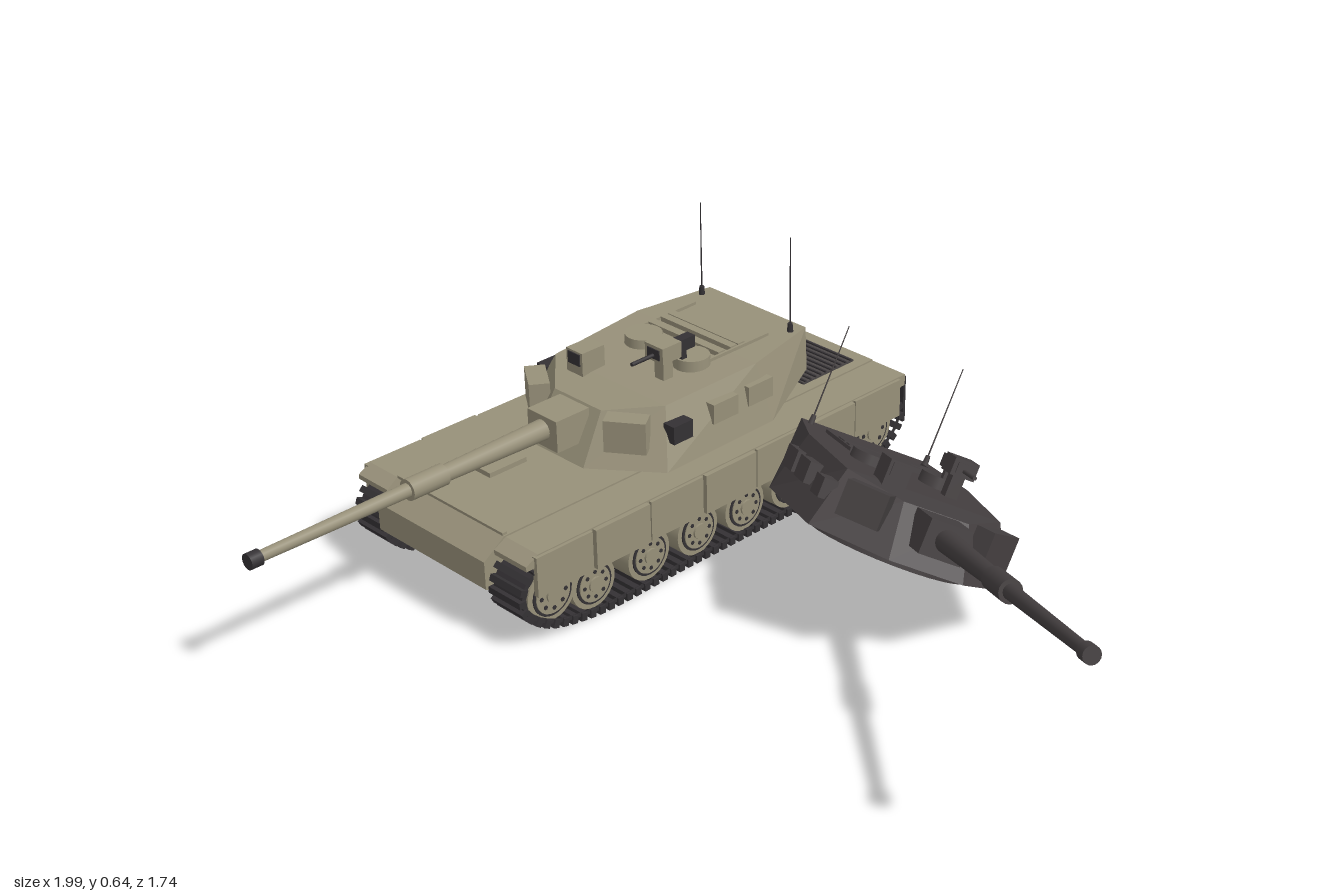
import * as THREE from 'three';
import { mergeGeometries } from 'three/addons/utils/BufferGeometryUtils.js';

const mat = (name, color) => Object.assign(new THREE.MeshStandardMaterial({ color }), { name });
const khaki = mat('khaki paint', 0x979079);
const charred = mat('charred metal', 0x443f40);
const rubber = mat('track black', 0x343134);
const grilleGrey = mat('grille grey', 0x4a4646);

function add(parent, name, geometry, material, x = 0, y = 0, z = 0, ry = 0) {
  const mesh = new THREE.Mesh(geometry, material);
  mesh.name = name;
  mesh.position.set(x, y, z);
  mesh.rotation.y = ry;
  parent.add(mesh);
  return mesh;
}
const box = (w, h, d) => new THREE.BoxGeometry(w, h, d);
const cyl = (rTop, rBottom, h, n = 20) => new THREE.CylinderGeometry(rTop, rBottom, h, n);
const cylZ = (rFront, rBack, h, n = 16) => cyl(rFront, rBack, h, n).rotateX(Math.PI / 2);
const cylX = (r, h, n = 20) => cyl(r, r, h, n).rotateZ(Math.PI / 2);

// Side profile of [z, y] points, extruded across x and centred
function extrudeAcross(points, width, hole) {
  const shape = new THREE.Shape(points.map(([z, y]) => new THREE.Vector2(-z, y)));
  if (hole) shape.holes.push(new THREE.Path(hole.map(([z, y]) => new THREE.Vector2(-z, y))));
  return new THREE.ExtrudeGeometry(shape, { depth: width, bevelEnabled: false })
    .translate(0, 0, -width / 2).rotateY(Math.PI / 2);
}

// Faceted solid from a lower and an upper half-outline, mirrored in x
function loft(lower, upper) {
  const ring = half => [...half, ...half.map(([x, y, z]) => [-x, y, z]).reverse()];
  const b = ring(lower), t = ring(upper), n = b.length, p = [];
  for (let i = 0; i < n; i++) {
    const j = (i + 1) % n;
    p.push(b[i], b[j], t[j], b[i], t[j], t[i]);
  }
  // Caps in strips between the mirrored sides
  for (let i = 0; i < n / 2 - 1; i++) {
    const k = n - 1 - i;
    p.push(t[i], t[i + 1], t[k - 1], t[i], t[k - 1], t[k]);
    p.push(b[i], b[k - 1], b[i + 1], b[i], b[k], b[k - 1]);
  }
  const g = new THREE.BufferGeometry();
  g.setAttribute('position', new THREE.Float32BufferAttribute(p.flat(), 3));
  g.computeVertexNormals();
  return g;
}

function makeTurret(paint, dark) {
  const g = new THREE.Group();
  add(g, 'turretBody', loft(
    [[0.09, 0.245, 0.02], [0.245, 0.245, -0.1], [0.24, 0.245, -0.45], [0.17, 0.29, -0.64]],
    [[0.08, 0.365, -0.05], [0.19, 0.38, -0.15], [0.205, 0.393, -0.43], [0.165, 0.4, -0.64]]), paint);
  add(g, 'turretRing', cyl(0.19, 0.19, 0.03, 28), paint, 0, 0.24, -0.24);

  // Main gun
  add(g, 'mantlet', box(0.1, 0.08, 0.1), paint, 0, 0.325, 0.01);
  add(g, 'barrelBase', cylZ(0.02, 0.026, 0.31), paint, 0, 0.328, 0.205);
  add(g, 'barrelSleeve', cylZ(0.026, 0.026, 0.1), paint, 0, 0.328, 0.4);
  add(g, 'barrel', cylZ(0.013, 0.017, 0.41), paint, 0, 0.328, 0.64);
  add(g, 'muzzle', cylZ(0.019, 0.019, 0.03), dark, 0, 0.328, 0.855);

  // Paired fittings
  for (const s of [1, -1]) {
    add(g, 'cheekBox', box(0.1, 0.08, 0.05), paint, s * 0.155, 0.33, -0.06, s * 0.6);
    add(g, 'smokeLauncher', box(0.035, 0.045, 0.06), dark, s * 0.22, 0.325, -0.16);
    add(g, 'sideBin', box(0.04, 0.05, 0.08), paint, s * 0.215, 0.33, -0.3);
    add(g, 'rearSideBin', box(0.04, 0.05, 0.08), paint, s * 0.21, 0.33, -0.42);
    add(g, 'antennaBase', cyl(0.006, 0.008, 0.025, 8), dark, s * 0.152, 0.408, -0.6);
    add(g, 'antenna', cyl(0.0012, 0.002, 0.235, 6), dark, s * 0.152, 0.525, -0.6);
    add(g, 'roofRail', box(0.006, 0.008, 0.2), paint, s * 0.125, 0.4, -0.45);
  }
  for (const z of [-0.465, -0.44, -0.4]) add(g, 'roofRib', box(0.24, 0.012, 0.022), paint, 0, 0.4, z);

  // Hatches and sights
  add(g, 'loaderHatch', cyl(0.046, 0.048, 0.03), paint, -0.08, 0.395, -0.335);
  add(g, 'commanderHatch', cyl(0.044, 0.046, 0.035), paint, 0.09, 0.396, -0.33);
  add(g, 'gunnerSight', box(0.055, 0.06, 0.07), paint, -0.087, 0.405, -0.155);
  add(g, 'gunnerSightWindow', box(0.04, 0.03, 0.004), dark, -0.087, 0.415, -0.119);
  add(g, 'sightPedestal', box(0.03, 0.06, 0.03), paint, 0.09, 0.415, -0.24);
  add(g, 'commanderSight', box(0.06, 0.04, 0.06), paint, 0.09, 0.457, -0.24);
  add(g, 'commanderSightWindow', box(0.04, 0.025, 0.004), dark, 0.09, 0.457, -0.209);
  add(g, 'machineGunBody', box(0.025, 0.03, 0.06), dark, 0.09, 0.452, -0.3);
  add(g, 'machineGunMount', box(0.015, 0.04, 0.015), dark, 0.09, 0.425, -0.3);
  add(g, 'machineGunBarrel', cylZ(0.005, 0.005, 0.16, 8), dark, 0.09, 0.453, -0.22);
  return g;
}

// Closed track loop: a band with evenly spaced pads
function makeTrack() {
  const pts = [[-0.62, 0.014], [-0.35, 0.014], [-0.1, 0.014], [0.18, 0.014], [0.32, 0.05], [0.38, 0.11],
    [0.37, 0.17], [0.32, 0.2], [0, 0.2], [-0.4, 0.2], [-0.78, 0.2], [-0.84, 0.17], [-0.855, 0.11], [-0.79, 0.05]];
  const curve = new THREE.CatmullRomCurve3(pts.map(([z, y]) => new THREE.Vector3(0, y, z)), true);
  const count = 96, outer = [], inner = [], pads = [];
  for (let i = 0; i < count; i++) {
    const p = curve.getPointAt(i / count), t = curve.getTangentAt(i / count);
    outer.push([p.z, p.y]);
    inner.push([p.z - t.y * 0.012, p.y + t.z * 0.012]);
    pads.push(box(0.105, 0.02, 0.016).rotateX(-Math.atan2(t.y, t.z)).translate(0, p.y, p.z));
  }
  const g = new THREE.Group();
  add(g, 'trackBand', extrudeAcross(outer, 0.095, inner), rubber);
  add(g, 'trackPads', mergeGeometries(pads), rubber);
  return g;
}

function makeWheel(r, teeth) {
  const g = new THREE.Group();
  add(g, 'wheelDisc', cylX(r, 0.085, 24), khaki);
  add(g, 'wheelRing', cylX(r * 0.8, 0.091, 24), rubber);
  add(g, 'wheelFace', cylX(r * 0.7, 0.096, 24), khaki);
  add(g, 'hub', cylX(r * 0.3, 0.106, 12), khaki);
  for (let i = 0; i < 8; i++) {
    const a = i * Math.PI / 4;
    add(g, 'wheelBolt', cylX(r * 0.08, 0.1, 6), rubber, 0, Math.sin(a) * r * 0.5, Math.cos(a) * r * 0.5);
  }
  for (let i = 0; i < teeth; i++) {
    add(g, 'sprocketTooth', box(0.03, r * 2.25, 0.014), khaki).rotation.x = i * Math.PI / teeth;
  }
  return g;
}

function makeHull() {
  const g = new THREE.Group();
  add(g, 'hullBody', extrudeAcross([[-0.86, 0.242], [0.34, 0.242], [0.4, 0.2], [0.4, 0.13],
    [0.3, 0.078], [-0.8, 0.078], [-0.86, 0.12]], 0.376), khaki);
  add(g, 'fenders', extrudeAcross([[-0.862, 0.238], [0.335, 0.238], [0.37, 0.22], [0.37, 0.208], [-0.862, 0.208]], 0.59), khaki);
  add(g, 'driverHatch', box(0.095, 0.014, 0.11), khaki, -0.08, 0.247, 0.14);
  add(g, 'glacisRib', box(0.37, 0.008, 0.012), khaki, 0, 0.244, 0.335);

  // Engine deck
  add(g, 'engineGrille', box(0.32, 0.006, 0.18), grilleGrey, 0, 0.244, -0.73);
  for (let i = 0; i < 10; i++) add(g, 'grilleSlat', box(0.32, 0.005, 0.005), rubber, 0, 0.248, -0.81 + i * 0.018);

  // Running gear, mirrored
  for (const s of [1, -1]) {
    const side = new THREE.Group();
    side.name = s > 0 ? 'leftRunningGear' : 'rightRunningGear';
    side.position.x = s * 0.24;
    g.add(side);
    const track = makeTrack();
    track.name = 'track';
    side.add(track);
    for (const z of [0.17, 0, -0.155, -0.31, -0.465, -0.62]) {
      const wheel = makeWheel(0.064, 0);
      wheel.name = 'roadWheel';
      wheel.position.set(0, 0.086, z);
      side.add(wheel);
    }
    for (const z of [0.292, -0.755]) {
      const wheel = makeWheel(0.07, z < 0 ? 6 : 0);
      wheel.name = z < 0 ? 'driveSprocket' : 'idlerWheel';
      wheel.position.set(0, 0.115, z);
      side.add(wheel);
    }
    add(side, 'mudFlap', box(0.1, 0.125, 0.008), rubber, 0, 0.165, -0.868);
    // Skirt panels
    for (let i = 0; i < 7; i++) {
      add(side, 'skirtPanel', box(0.014, 0.1, 0.163), khaki, s * (i % 2 ? 0.06 : 0.056), 0.185, 0.265 - i * 0.17);
    }
  }
  return g;
}

export function createModel() {
  const model = new THREE.Group();
  model.name = 'tankWithWreckedTurret';

  const tank = new THREE.Group();
  tank.name = 'tank';
  tank.position.x = -0.685;
  const hull = makeHull();
  hull.name = 'hull';
  const turret = makeTurret(khaki, rubber);
  turret.name = 'turret';
  tank.add(hull, turret);

  // Burnt turret lying tilted beside the tank
  const wreck = makeTurret(charred, charred);
  wreck.name = 'wreckedTurret';
  const forward = new THREE.Vector3(0.829, 0.267, 0.491).normalize();
  const left = new THREE.Vector3(0.018, 0.864, -0.503).cross(forward).normalize();
  const up = forward.clone().cross(left);
  wreck.quaternion.setFromRotationMatrix(new THREE.Matrix4().makeBasis(left, up, forward));
  wreck.position.set(0.985, 0.553, 0.203).addScaledVector(up, -0.328).addScaledVector(forward, -0.87);

  model.add(tank, wreck);
  return model;
}
